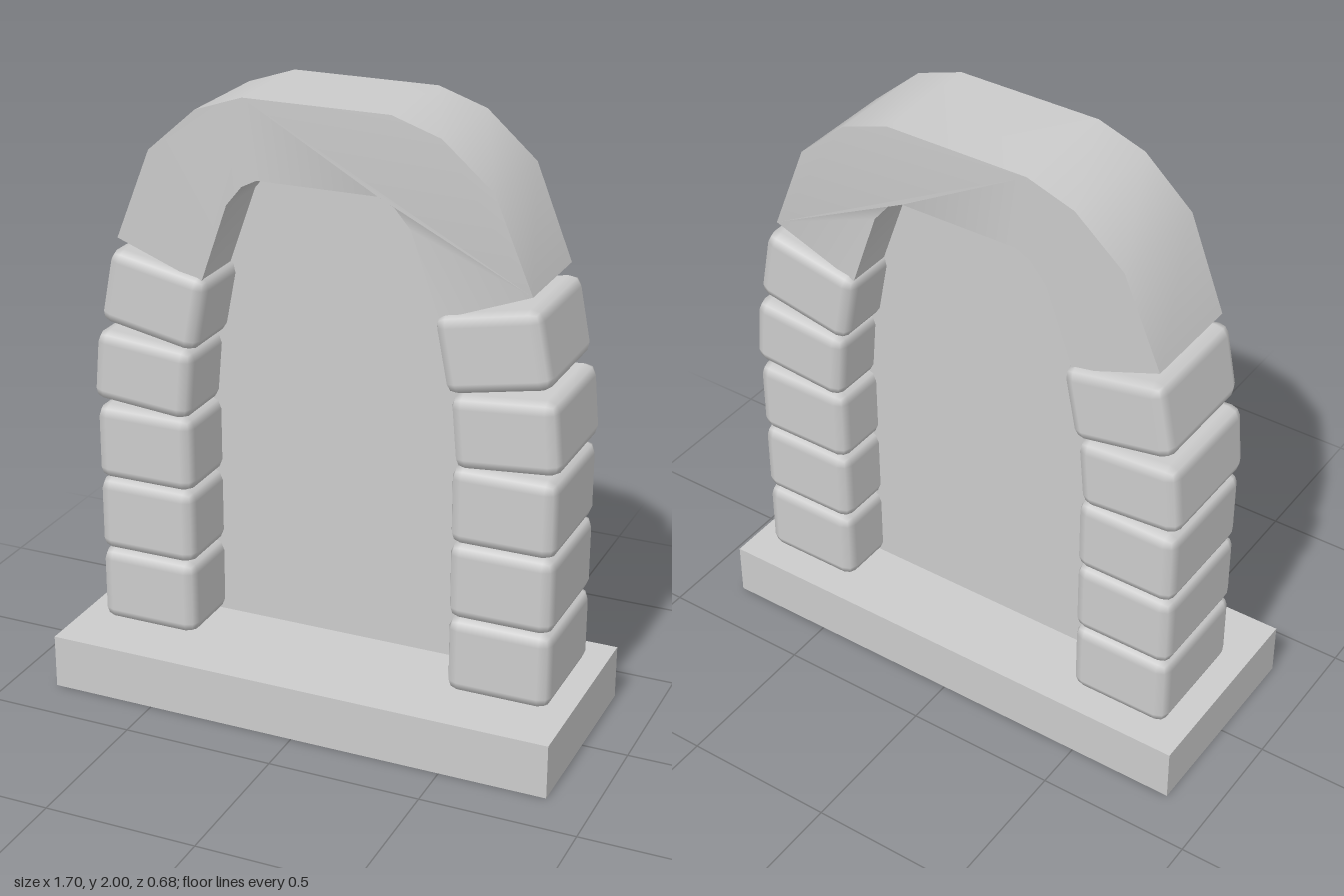
import * as THREE from 'three';
import { toCreasedNormals } from 'three/addons/utils/BufferGeometryUtils.js';
import { RoundedBoxGeometry } from 'three/addons/geometries/RoundedBoxGeometry.js';

const MID_Z = -0.048; // depth centre of columns and arch

// Closed shape from its right half, listed bottom to top then mirrored
const mirrorLine = (half) => [...half, ...half.map(([x, y]) => [-x, y]).reverse()];
const toShape = (points) => new THREE.Shape(points.map(([x, y]) => new THREE.Vector2(x, y)));

export function createModel() {
  const model = new THREE.Group();
  const stone = new THREE.MeshStandardMaterial({ color: 0xcccccc });
  const add = (name, geometry, material = stone) => {
    const mesh = new THREE.Mesh(geometry, material);
    mesh.name = name;
    model.add(mesh);
    return mesh;
  };

  // Plinth
  add('base', new THREE.BoxGeometry(1.7, 0.18, 0.68)).position.y = 0.09;

  // Columns of bevelled blocks, the upper two leaning inward
  const blocks = [
    // x, y, height, lean in degrees
    [0.607, 0.306, 0.255, 0],
    [0.607, 0.56, 0.255, 0],
    [0.607, 0.813, 0.255, 0],
    [0.607, 1.064, 0.237, 5],
    [0.561, 1.32, 0.25, 11],
  ];
  for (const side of [1, -1]) {
    blocks.forEach(([x, y, height, lean], i) => {
      const block = add(`${side > 0 ? 'left' : 'right'}Block${i + 1}`,
        new RoundedBoxGeometry(0.34, height, 0.405, 1, 0.038));
      block.position.set(side * x + 0.005, y, MID_Z);
      block.rotation.z = side * THREE.MathUtils.degToRad(lean);
    });
  }

  // Arch stone, slightly thicker at the crown than at its feet
  const outer = mirrorLine([[0.68, 1.507], [0.558, 1.804], [0.395, 1.947], [0.238, 2]]);
  const inner = mirrorLine([[0.393, 1.398], [0.3, 1.66], [0.247, 1.724], [0.196, 1.75]]);
  const arch = new THREE.ExtrudeGeometry(toShape([...outer, ...inner.reverse()]),
    { depth: 2, bevelEnabled: false });
  arch.translate(0, 0, -1);
  const pos = arch.attributes.position;
  for (let i = 0; i < pos.count; i++) {
    const halfDepth = 0.174 + 0.011 * THREE.MathUtils.smoothstep(pos.getY(i), 1.5, 1.95);
    pos.setZ(i, pos.getZ(i) * halfDepth + MID_Z);
  }
  add('arch', toCreasedNormals(arch, 0.7));

  // Thin panel filling the opening, its edges buried in the stones
  const panel = mirrorLine([[0.52, 0.18], [0.52, 1.15], [0.46, 1.42], [0.38, 1.7], [0.24, 1.82]]);
  add('panel', new THREE.ShapeGeometry(toShape(panel)),
    new THREE.MeshStandardMaterial({ color: 0xcccccc, side: THREE.DoubleSide })).position.z = -0.07;

  return model;
}
